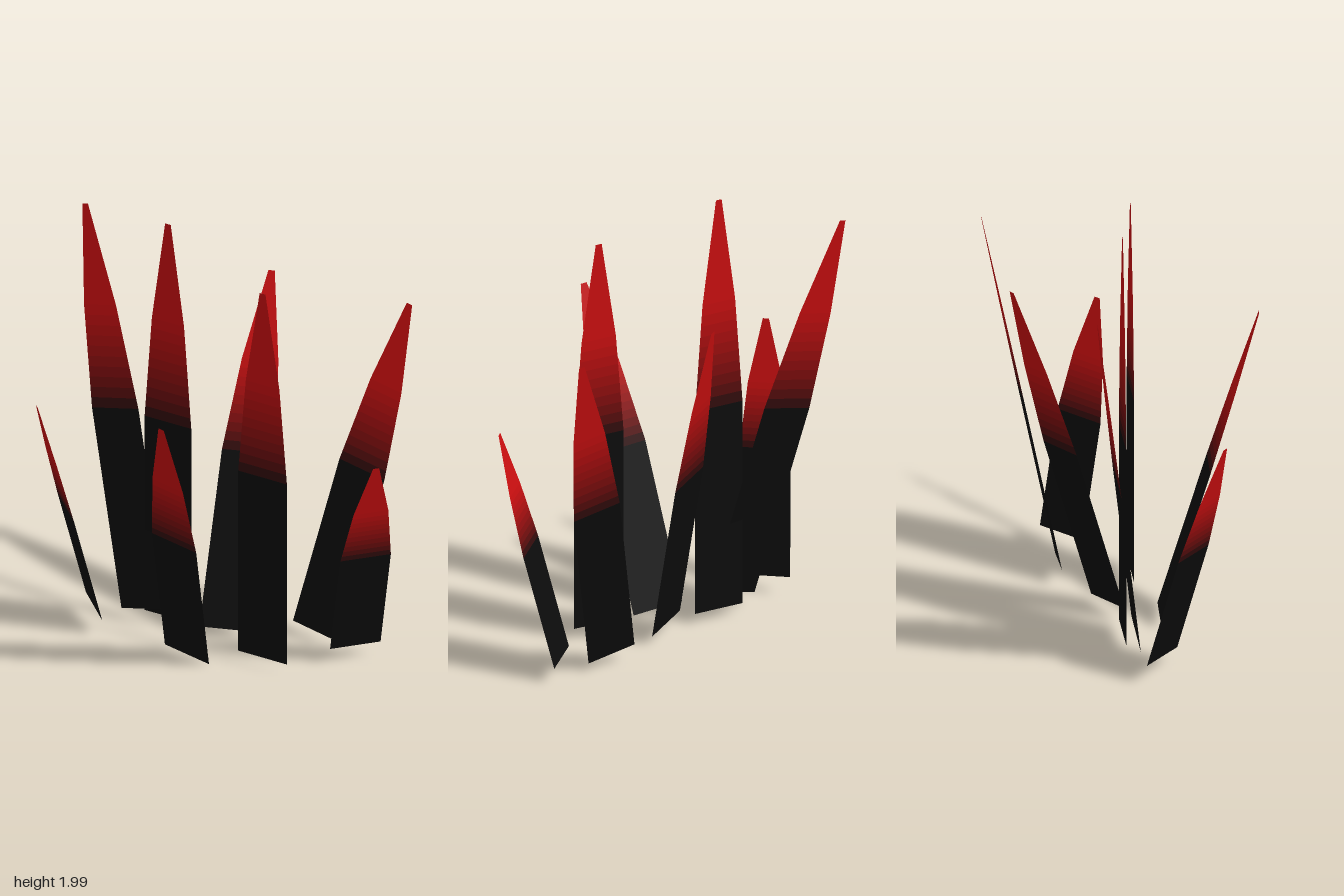
import * as THREE from 'three';

// Each blade: root centre, tip centre, half width across the root [x, z]
const BLADES = [
  { name: 'rightOuterBlade', root: [-0.418, 0.087, -0.39], tip: [-0.707, 1.17, -0.39], half: [0.0275, -0.11] },
  { name: 'rightFrontBlade', root: [-0.233, 0.018, 0.062], tip: [-0.566, 1.4, 0.386], half: [0.047, 0.1025] },
  { name: 'backBlade', root: [-0.248, 0.09, -0.255], tip: [-0.252, 1.865, -0.728], half: [0.0575, 0.095] },
  { name: 'leftBackBlade', root: [-0.0125, 0.054, 0.0225], tip: [0.348, 1.618, -0.185], half: [0.0975, 0.0575] },
  { name: 'leftOuterBlade', root: [0.2975, 0.06, 0.249], tip: [0.697, 1.618, 0.368], half: [0.0525, 0.097] },
  { name: 'frontBlade', root: [0.366, 0.075, 0.461], tip: [0.304, 1.105, 0.728], half: [0.109, 0.029] },
  { name: 'tallUprightBlade', root: [-0.165, 0.053, -0.2], tip: [-0.165, 2, -0.2], half: [0.055, 0.1] },
  { name: 'uprightBlade', root: [-0.007, 0.055, 0.31], tip: [-0.007, 1.86, 0.31], half: [0.057, 0.105] },
];

// Outline: position along the blade, share of full width
const MID = 0.495, SHOULDER = 0.75, SHOULDER_WIDTH = 0.69, TIP_WIDTH = 0.12;
const STEPS = 10;

// A flat strip through two cross-sections
function strip(a, b) {
  const geo = new THREE.BufferGeometry();
  const points = [a[0], a[1], b[1], b[0]].flatMap((p) => p.toArray());
  geo.setAttribute('position', new THREE.Float32BufferAttribute(points, 3));
  geo.setIndex([0, 1, 2, 0, 2, 3]);
  geo.computeVertexNormals();
  return geo;
}

export function createModel() {
  const model = new THREE.Group();
  model.name = 'bladeCluster';

  const black = new THREE.Color(0x0c0c0c);
  const red = new THREE.Color(0xcc0f10);
  const paint = (t) => new THREE.MeshStandardMaterial({
    color: black.clone().lerp(red, t), side: THREE.DoubleSide,
  });

  // Bands from root to tip: black root, fading middle, red tip
  const bands = [{ name: 'root', from: [0, 1], to: [MID, 1], material: paint(0) }];
  const fade = (t) => [
    THREE.MathUtils.lerp(MID, SHOULDER, t),
    THREE.MathUtils.lerp(1, SHOULDER_WIDTH, t),
  ];
  for (let i = 0; i < STEPS; i++) {
    bands.push({
      name: 'fadeBand', from: fade(i / STEPS), to: fade((i + 1) / STEPS),
      material: paint((i + 0.5) / STEPS),
    });
  }
  bands.push({ name: 'tip', from: [SHOULDER, SHOULDER_WIDTH], to: [1, TIP_WIDTH], material: paint(1) });

  for (const { name, root, tip, half } of BLADES) {
    const blade = new THREE.Group();
    blade.name = name;
    const start = new THREE.Vector3(...root);
    const end = new THREE.Vector3(...tip);
    const axis = end.clone().sub(start);
    // Keep the width square to the blade's lean
    const side = new THREE.Vector3(half[0], -(half[0] * axis.x + half[1] * axis.z) / axis.y, half[1]);
    const section = ([t, w]) => [-w, w].map((s) =>
      start.clone().addScaledVector(axis, t).addScaledVector(side, s));

    for (const band of bands) {
      const mesh = new THREE.Mesh(strip(section(band.from), section(band.to)), band.material);
      mesh.name = band.name;
      blade.add(mesh);
    }
    model.add(blade);
  }
  return model;
}
